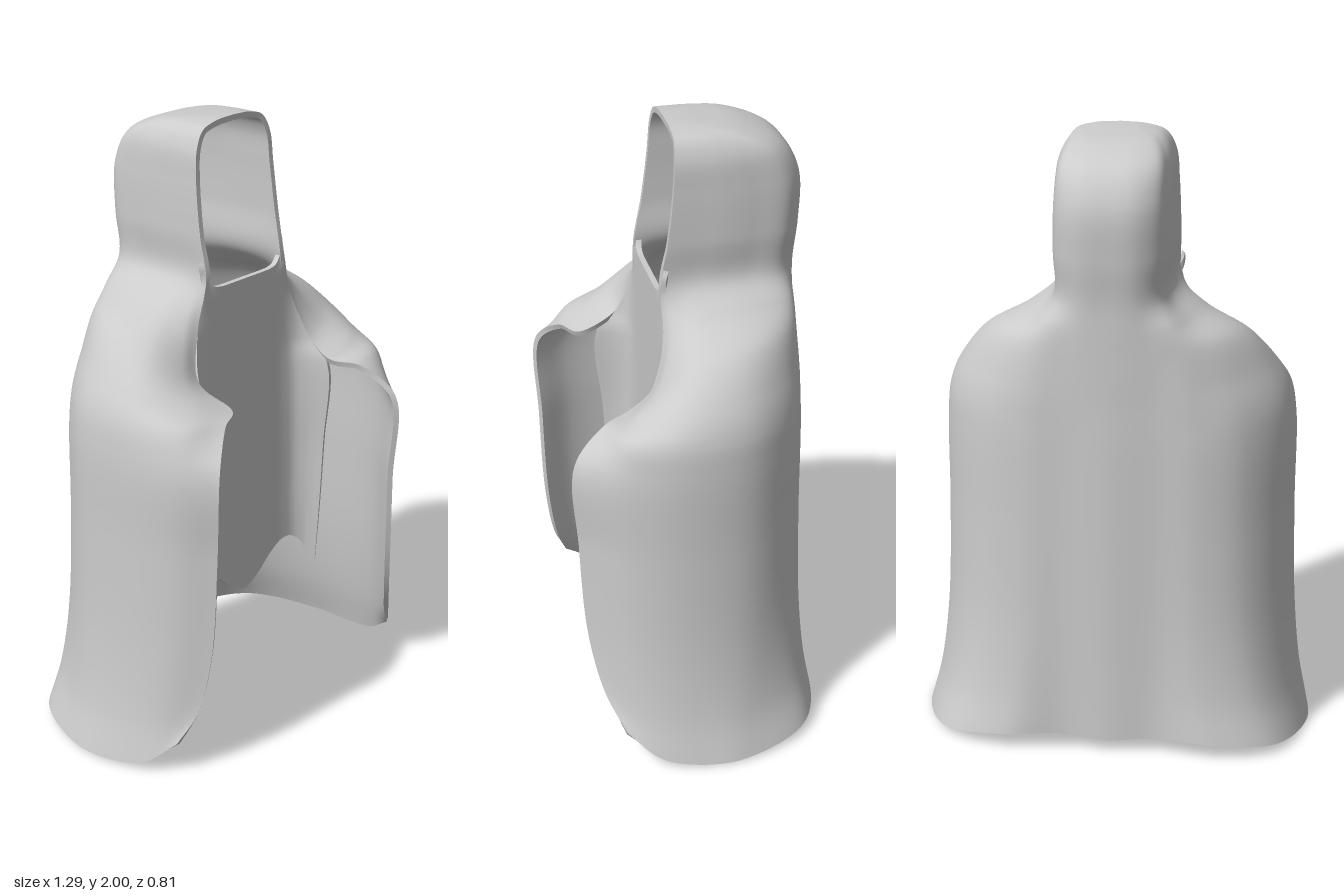
import * as THREE from 'three';
import { mergeGeometries } from 'three/addons/utils/BufferGeometryUtils.js';

const V = (x, y, z) => new THREE.Vector3(x, y, z);
const lerp = THREE.MathUtils.lerp;

// Evenly sample a smooth curve through the points
const smooth = (points, n) => new THREE.CatmullRomCurve3(points).getPoints(n);

// Loft a smooth grid of points through control rows
function loft(rows, across, down) {
  const fine = rows.map((row) => smooth(row, across));
  const columns = fine[0].map((_, c) => smooth(fine.map((row) => row[c]), down));
  return columns[0].map((_, r) => columns.map((column) => column[r]));
}

// Skin over a grid of points
function skin(grid, flip = false) {
  const w = grid[0].length, index = [];
  for (let r = 0; r < grid.length - 1; r++) {
    for (let c = 0; c < w - 1; c++) {
      const a = r * w + c, b = a + 1, d = a + w, e = d + 1;
      if (flip) index.push(a, d, b, b, d, e);
      else index.push(a, b, d, b, e, d);
    }
  }
  const geometry = new THREE.BufferGeometry().setFromPoints(grid.flat());
  geometry.setIndex(index);
  geometry.computeVertexNormals();
  return geometry;
}

// Cloth with thickness: outer skin, inner skin and four rims
function cloth(grid, thickness) {
  const outer = skin(grid), normals = outer.attributes.normal, w = grid[0].length;
  const inner = grid.map((row, r) => row.map((p, c) => {
    const n = V().fromBufferAttribute(normals, r * w + c);
    return p.clone().addScaledVector(n, -thickness);
  }));
  const last = grid.length - 1;
  const side = (g, c) => g.map((row) => row[c]);
  return mergeGeometries([
    outer,
    skin(inner, true),
    skin([grid[0], inner[0]], true),
    skin([grid[last], inner[last]]),
    skin([side(grid, 0), side(inner, 0)]),
    skin([side(grid, w - 1), side(inner, w - 1)], true),
  ]);
}

// Hood rows, each a U open to the front: height, half width, back z, front z
function hoodRows() {
  const u = [[0, 1], [0.5, 0.975], [0.85, 0.85], [0.96, 0.6], [1, 0.4], [1, 0.2], [1, 0.08], [1, 0]];
  const levels = [
    [2.0, 0, 0.025, 0.025], [1.995, 0.08, -0.08, 0.025], [1.975, 0.142, -0.22, 0.026],
    [1.92, 0.174, -0.335, 0.03], [1.82, 0.184, -0.39, 0.036], [1.66, 0.189, -0.392, 0.055],
    [1.52, 0.19, -0.378, 0.08],
  ];
  return levels.map(([y, a, back, front]) =>
    u.map(([x, z]) => V(x * a, y, lerp(front, back, z))));
}

// Shoulder rows, from the middle of the back to the front edge
function shoulderRows() {
  return [
    [[0, 1.4, -0.377], [0.11, 1.42, -0.367], [0.2, 1.44, -0.335], [0.25, 1.45, -0.22],
      [0.27, 1.45, -0.1], [0.275, 1.43, 0], [0.262, 1.39, 0.06], [0.23, 1.37, 0.08]],
    [[0, 1.28, -0.377], [0.13, 1.3, -0.366], [0.245, 1.36, -0.34], [0.345, 1.385, -0.25],
      [0.415, 1.37, -0.11], [0.41, 1.33, 0.04], [0.34, 1.26, 0.115], [0.275, 1.22, 0.125]],
    [[0, 1.18, -0.377], [0.14, 1.18, -0.366], [0.265, 1.22, -0.352], [0.385, 1.25, -0.285],
      [0.495, 1.25, -0.13], [0.505, 1.23, 0.08], [0.41, 1.195, 0.205], [0.285, 1.16, 0.2]],
    [[0, 1.12, -0.378], [0.14, 1.12, -0.366], [0.27, 1.14, -0.355], [0.4, 1.16, -0.298],
      [0.525, 1.16, -0.14], [0.545, 1.16, 0.09], [0.475, 1.155, 0.25], [0.335, 1.145, 0.29]],
  ].map((row) => row.map((p) => V(...p)));
}

// Skirt rows blend from the upper section to the flared, rounded hem
function skirtRows() {
  const top = [[0, -0.379], [0.14, -0.366], [0.275, -0.357], [0.41, -0.3],
    [0.535, -0.14], [0.56, 0.08], [0.51, 0.25], [0.39, 0.395]];
  const hem = [[0, 0.05, -0.385], [0.15, 0.06, -0.373], [0.34, 0.06, -0.4], [0.54, 0.035, -0.325],
    [0.64, 0.01, -0.1], [0.637, 0.012, 0.06], [0.61, 0.04, 0.18], [0.56, 0.12, 0.275]];
  const levels = [[1.05, 0], [0.75, 0.04], [0.4, 0.2], [0.16, 0.55], [0, 1]];
  return levels.map(([y, f]) => top.map(([x, z], k) =>
    V(lerp(x, hem[k][0], f), y + hem[k][1] * f, lerp(z, hem[k][2], f))));
}

export function createModel() {
  const group = new THREE.Group();
  const material = new THREE.MeshStandardMaterial({ color: 0xcccccc, side: THREE.DoubleSide });
  const add = (name, geometry) => {
    const mesh = new THREE.Mesh(geometry, material);
    mesh.name = name;
    group.add(mesh);
  };

  // Hooded cape; the right front edge is drawn open wider: [outward, forward] per row
  const open = [[-0.02, 0.05], [0.025, 0.015], [0.07, -0.025], [0.07, -0.025],
    [0.055, -0.02], [0.025, -0.01], [0, 0]];
  const halves = [...hoodRows(), ...shoulderRows(), ...skirtRows()];
  const capeRows = halves.map((row, r) => {
    const [out, forward] = open[r - (halves.length - open.length)] ?? [0, 0];
    const right = row.slice(1).map((p, k) => {
      const share = k === 6 ? 1 : k === 5 ? 0.4 : 0.15;
      return V(-p.x - out * share, p.y, p.z + (k === 6 ? forward : 0));
    });
    return [...right.reverse(), ...row];
  });
  add('hoodedCape', cloth(loft(capeRows, 112, 135), 0.018));

  // Chest panel: rounded collar, edges curling forward beside the arm openings, wavy hem
  const spread = [0, 0.22, 0.45, 0.66, 0.8, 0.9, 0.96, 1];
  const curl = [0, 0, 0, 0.02, 0.12, 0.4, 0.7, 1];
  const collarY = [1.485, 1.485, 1.485, 1.487, 1.495, 1.515, 1.54, 1.58];
  const neckY = [1.45, 1.45, 1.45, 1.45, 1.455, 1.47, 1.49, 1.52];
  const hemY = [0.39, 0.42, 0.475, 0.505, 0.5, 0.47, 0.41, 0.405];
  const levels = [[collarY, 0.19, 0.07], [neckY, 0.19, 0.08], [1.37, 0.23, 0.08],
    [1.22, 0.275, 0.125], [1.14, 0.286, 0.19], [0.85, 0.298, 0.17], [0.6, 0.3, 0.155],
    [hemY, 0.302, 0.14]];
  const chestRows = levels.map(([y, half, edge]) => {
    const left = spread.map((s, k) => V(s * half, y[k] ?? y, lerp(0.08, edge, curl[k])));
    const right = left.slice(1).map((p) => V(-p.x, p.y, p.z));
    return [...left.reverse(), ...right];
  });
  add('chestPanel', cloth(loft(chestRows, 84, 56), 0.018));

  return group;
}
